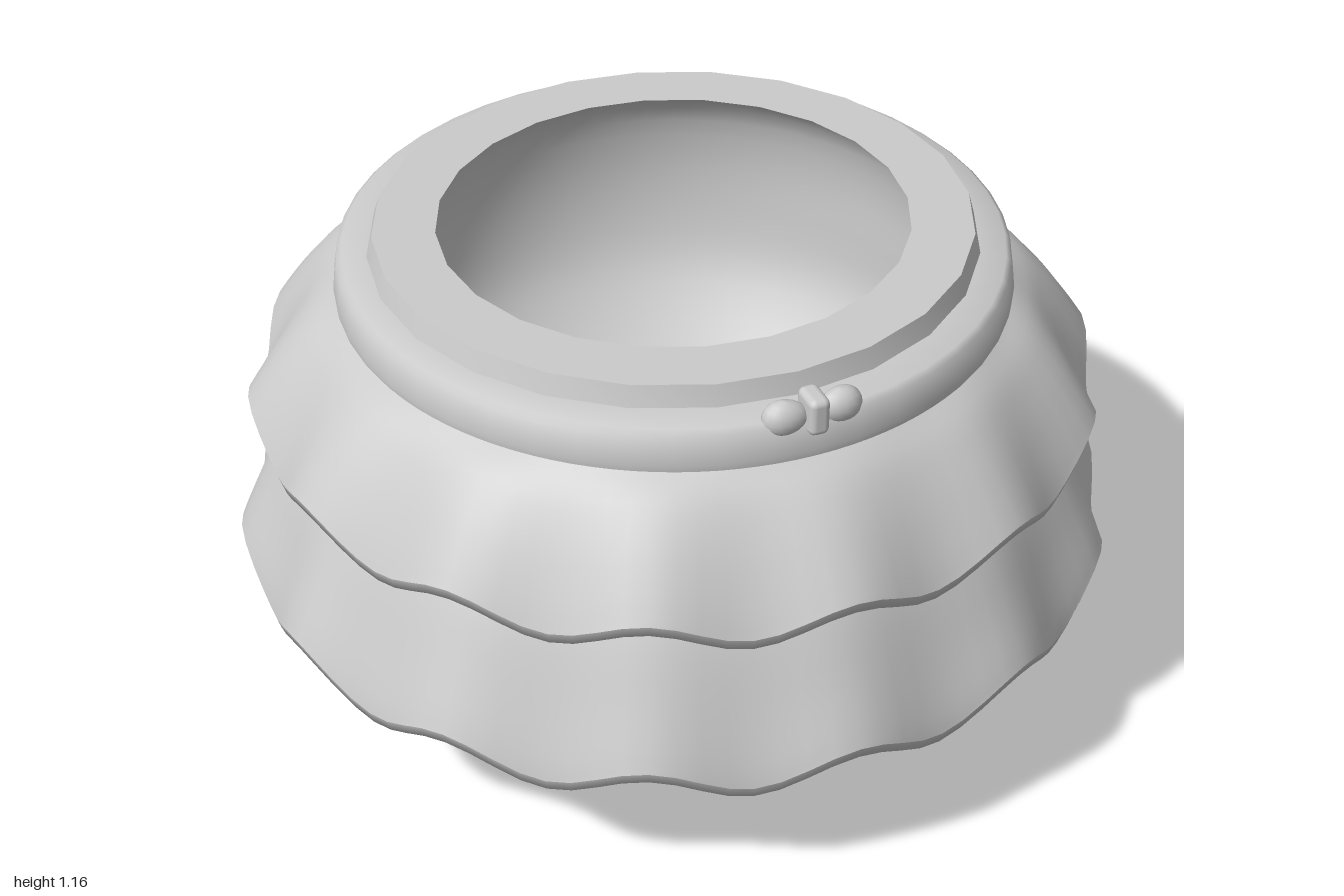
import * as THREE from 'three';
import { toCreasedNormals } from 'three/addons/utils/BufferGeometryUtils.js';
import { RoundedBoxGeometry } from 'three/addons/geometries/RoundedBoxGeometry.js';

const material = new THREE.MeshStandardMaterial({ color: 0xcccccc, side: THREE.DoubleSide });
const TAU = Math.PI * 2;
const lerp = THREE.MathUtils.lerp;

function addMesh(parent, name, geometry) {
  const mesh = new THREE.Mesh(geometry, material);
  mesh.name = name;
  parent.add(mesh);
  return mesh;
}

// Surface of closed loops: point(i, j) gives [x, y, z] for column i of loop j
function loopSurface(columns, loops, point) {
  const positions = [], index = [];
  for (let j = 0; j < loops; j++) {
    for (let i = 0; i < columns; i++) {
      positions.push(...point(i, j));
      if (j === loops - 1) continue;
      const a = j * columns + i, b = j * columns + (i + 1) % columns;
      index.push(a, a + columns, b, b, a + columns, b + columns);
    }
  }
  const geometry = new THREE.BufferGeometry();
  geometry.setAttribute('position', new THREE.Float32BufferAttribute(positions, 3));
  geometry.setIndex(index);
  geometry.computeVertexNormals();
  return geometry;
}

// Smooth surface through a few rings: ringPoint(i, ring) gives a Vector3
function ringSurface(columns, rows, rings, ringPoint) {
  const curves = Array.from({ length: columns }, (_, i) => new THREE.CatmullRomCurve3(
    rings.map(ring => ringPoint(i, ring)), false, 'centripetal').getPoints(rows));
  return loopSurface(columns, rows + 1, (i, j) => curves[i][j].toArray());
}

function lathe(points, segments) {
  return new THREE.LatheGeometry(points.map(p => new THREE.Vector2(...p)), segments);
}

// One ruffled skirt tier: pleated outside, scalloped hem lip and inside
function skirtTier(name, profile, wave, lift) {
  const tier = new THREE.Group();
  tier.name = name;
  const scallops = 14, columns = scallops * 8, rows = 12;
  const curve = new THREE.SplineCurve(profile.map(p => new THREE.Vector2(...p))).getPoints(rows);
  const top = curve[0].y, hem = curve[rows].y;
  const at = (i, row, inset, drop) => {
    const a = i / columns * TAU, w = Math.cos(scallops * a), t = row / rows;
    const r = curve[row].x + wave * w * t - inset;
    const y = lerp(top, hem + lift * w, (top - curve[row].y) / (top - hem)) - drop;
    return [r * Math.sin(a), y, r * Math.cos(a)];
  };
  addMesh(tier, name + 'Outside', loopSurface(columns, rows + 1, (i, j) => at(i, j, 0, 0)));
  addMesh(tier, name + 'Hem', loopSurface(columns, 3, (i, j) =>
    at(i, rows, [0, 0.008, 0.045][j], [0, 0.028, 0.03][j])));
  addMesh(tier, name + 'Inside', loopSurface(columns, rows + 1, (i, j) => at(i, rows - j, 0.045, 0.03)));
  return tier;
}

// Body floor: half of a shallow oval bowl, with a round leg hole
const FLOOR_X = 0.5, FLOOR_Z = 0.37, HOLE_X = 0.23, HOLE_Z = -0.03, HOLE_R = 0.125;

function floorY(x, z) {
  const e = Math.hypot(x / FLOOR_X, z / FLOOR_Z);
  return 0.275 + 0.085 * e ** 4 + 0.012 * (1 - e) * Math.exp(-((x / 0.08) ** 2));
}

function floorHalf(side, raise) {
  const arc = 32, straight = 16, loops = 10;
  return loopSurface(arc + straight, loops, (i, j) => {
    const a = i / arc * Math.PI;
    const bx = i <= arc ? FLOOR_X * Math.sin(a) : 0;
    const bz = i <= arc ? FLOOR_Z * Math.cos(a) : lerp(-FLOOR_Z, FLOOR_Z, (i - arc) / straight);
    const dx = bx - HOLE_X, dz = bz - HOLE_Z, d = Math.hypot(dx, dz);
    const k = lerp(HOLE_R / d, 1, j / (loops - 1));
    const x = HOLE_X + dx * k, z = HOLE_Z + dz * k;
    return [side * x, floorY(x, z) + raise, z];
  });
}

function legHoleRim(side) {
  return loopSurface(32, 2, (i, j) => {
    const a = i / 32 * TAU;
    const x = HOLE_X + HOLE_R * Math.sin(a), z = HOLE_Z + HOLE_R * Math.cos(a);
    return [side * x, floorY(x, z) + j * 0.03, z];
  });
}

// Body wall rings: [depth radius, y, extra width]
const BODY_OUTSIDE = [[0.37, 0.36, 0.13], [0.48, 0.435, 0.1], [0.58, 0.525, 0.06],
  [0.65, 0.625, 0.03], [0.695, 0.75, 0], [0.71, 0.9, 0], [0.72, 1.02, 0]];
const BODY_INSIDE = [[0.37, 0.39, 0.13], [0.46, 0.465, 0.1], [0.55, 0.555, 0.06],
  [0.62, 0.66, 0.03], [0.655, 0.8, 0], [0.655, 0.95, 0], [0.62, 1.08, 0], [0.52, 1.16, 0]];

function bodyWall(rings) {
  return ringSurface(64, 20, rings, (i, [r, y, extra]) => {
    const a = i / 64 * TAU;
    return new THREE.Vector3((r + extra) * Math.sin(a), y, r * Math.cos(a));
  });
}

// Open shoe: rings of [half width, front z, back z, front y, side y, back y, falloff, squareness]
const SHOE_RINGS = [
  [0.197, 0.39, -0.184, 0, 0, 0, 2, 1],
  [0.21, 0.41, -0.194, 0.035, 0.03, 0.04, 2, 1],
  [0.2, 0.43, -0.195, 0.095, 0.075, 0.1, 3, 1],
  [0.183, 0.448, -0.195, 0.155, 0.108, 0.14, 4, 1],
  [0.165, 0.3, -0.19, 0.145, 0.13, 0.17, 1.6, 0.85],
  [0.145, 0.14, -0.18, 0.212, 0.132, 0.18, 1.3, 0.75],
];

// Uppers lean slightly toward the middle as they rise
function shoePoint(side, i, ring, shrink = 1) {
  const a = i / 40 * TAU, c = Math.cos(a), s = Math.sin(a);
  const [w, front, back, yFront, ySide, yBack, falloff, square] = ring;
  const y = lerp(ySide, c > 0 ? yFront : yBack, Math.abs(c) ** falloff);
  const x = w * Math.sign(s) * Math.abs(s) ** square * shrink - side * 0.13 * y;
  const z = (front + back) / 2 + (front - back) / 2 * c * shrink;
  return new THREE.Vector3(x, y, z);
}

function shoe(name, side) {
  const group = new THREE.Group();
  group.name = name;
  addMesh(group, name + 'Upper', ringSurface(40, 16, SHOE_RINGS, (i, ring) => shoePoint(side, i, ring)));
  addMesh(group, name + 'Sole', loopSurface(40, 2, (i, j) => shoePoint(side, i, SHOE_RINGS[0], j).toArray()));
  return group;
}

function bow() {
  const group = new THREE.Group();
  group.name = 'bow';
  for (const side of [-1, 1]) {
    // Plump loop that swells away from the knot
    const loop = new THREE.SphereGeometry(1, 16, 10);
    const p = loop.attributes.position;
    for (let i = 0; i < p.count; i++) {
      const x = p.getX(i), swell = 0.95 + 0.12 * x;
      p.setXYZ(i, 0.06 + 0.05 * x, p.getY(i) * 0.041 * swell - 0.006, p.getZ(i) * 0.034 * swell);
    }
    loop.computeVertexNormals();
    const mesh = addMesh(group, side > 0 ? 'bowLoopLeft' : 'bowLoopRight', loop);
    mesh.rotation.y = side > 0 ? 0.1 : Math.PI - 0.1;
  }
  addMesh(group, 'bowKnot', new RoundedBoxGeometry(0.045, 0.085, 0.075, 2, 0.015));
  group.position.set(0, 1.115, 0.72);
  return group;
}

export function createModel() {
  const model = new THREE.Group();
  model.name = 'ruffledSkirtBody';

  // Skirt tiers
  model.add(skirtTier('upperTier',
    [[0.745, 1.02], [0.798, 0.98], [0.858, 0.905], [0.911, 0.82], [0.943, 0.76]], 0.011, 0.032));
  model.add(skirtTier('lowerTier',
    [[0.78, 0.86], [0.87, 0.7], [0.932, 0.55], [0.972, 0.45], [0.988, 0.402]], 0.012, 0.037));

  // Waistband and collar
  addMesh(model, 'waistband', toCreasedNormals(
    lathe([[0.745, 1.02], [0.747, 1.035], [0.737, 1.1], [0.725, 1.11], [0.65, 1.113]], 48), 0.9));
  const collar = addMesh(model, 'collar', toCreasedNormals(
    lathe([[0.675, 1.1], [0.658, 1.16], [0.52, 1.16]], 24), 0.6));
  collar.scale.z = 0.98;

  // Hollow rounded body
  addMesh(model, 'bodyOutside', bodyWall(BODY_OUTSIDE));
  addMesh(model, 'bodyInside', bodyWall(BODY_INSIDE));

  // Floor, leg holes and shoes on both sides
  for (const side of [1, -1]) {
    const suffix = side > 0 ? 'Left' : 'Right';
    addMesh(model, 'floorOutside' + suffix, floorHalf(side, 0));
    addMesh(model, 'floorInside' + suffix, floorHalf(side, 0.03));
    addMesh(model, 'legHoleRim' + suffix, legHoleRim(side));
    const foot = shoe('shoe' + suffix, side);
    foot.position.x = side * 0.24;
    foot.rotation.y = side * 0.2;
    model.add(foot);
  }

  model.add(bow());
  return model;
}
